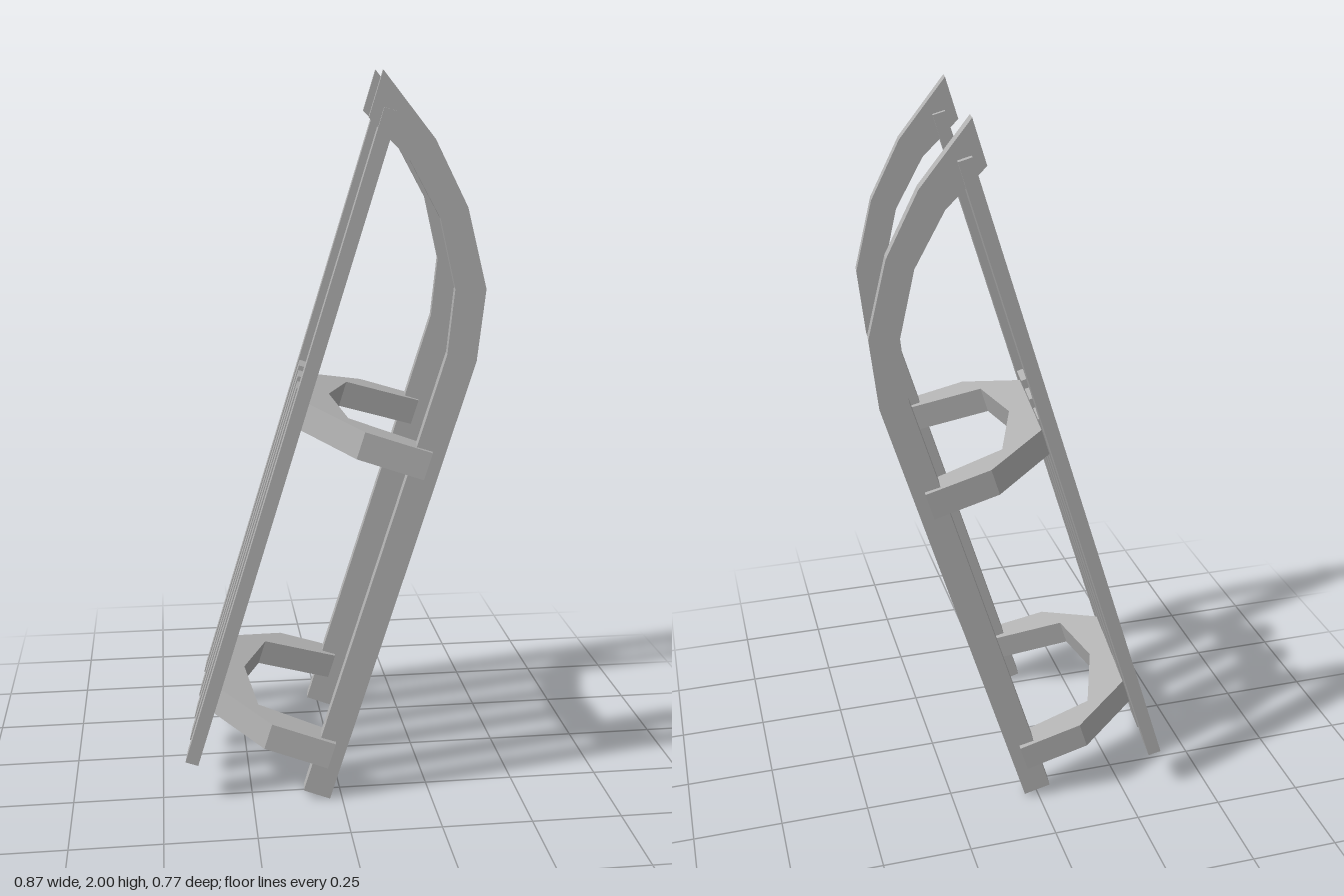
import * as THREE from 'three';

// Wooden sled standing on its tail, leaning back.
// Sled axes: x = seat to runner, y = along the sled, z = across it.
export function createModel() {
  const model = new THREE.Group();
  model.name = 'sled';
  const wood = new THREE.MeshStandardMaterial({ color: 0xb2b2b2, flatShading: true });
  wood.name = 'grey wood';

  const sled = new THREE.Group();
  sled.name = 'leaningSled';
  model.add(sled);

  const add = (name, geometry, x = 0, y = 0, z = 0) => {
    const mesh = new THREE.Mesh(geometry, wood);
    mesh.name = name;
    mesh.position.set(x, y, z);
    sled.add(mesh);
    return mesh;
  };
  const extrude = (points, depth) => new THREE.ExtrudeGeometry(
    new THREE.Shape(points.map(([x, y]) => new THREE.Vector2(x, y))),
    { depth, bevelEnabled: false });

  // Long flat boards of the seat
  const board = (name, y0, y1, z) =>
    add(name, new THREE.BoxGeometry(0.037, y1 - y0, 0.081), -0.402, (y0 + y1) / 2, z);
  for (const z of [-0.145, 0, 0.145]) board('seatSlat', 0, 1.09, z);

  // Curved runners with the side rails that meet their tips
  const runnerOutline = [
    [0, 0.009], [0, 1.322], [-0.035, 1.508], [-0.144, 1.691], [-0.274, 1.828], [-0.449, 1.95],
    [-0.449, 1.829], [-0.32, 1.76], [-0.202, 1.644], [-0.111, 1.485], [-0.078, 1.317], [-0.078, 0.012],
  ];
  const thickness = 0.045;
  for (const side of [1, -1]) {
    const label = side > 0 ? 'left' : 'right';
    board(label + 'SideRail', 0.01, 1.865, side * 0.298);
    add(label + 'Runner', extrude(runnerOutline, thickness), 0, 0, side * 0.297 - thickness / 2);
  }

  // Arched braces joining the runners under the seat
  const outer = [[-0.035, 0.335], [-0.22, 0.322], [-0.384, 0.188]];
  const inner = [[-0.265, 0.223], [-0.035, 0.262]];
  const mirror = (points) => points.map(([x, z]) => [x, -z]).reverse();
  const braceOutline = [...outer, ...mirror(outer), ...mirror(inner), [-0.32, 0], ...inner];
  for (const [name, top] of [['lowerBrace', 0.182], ['upperBrace', 1.058]]) {
    add(name, extrude(braceOutline, 0.077).rotateX(Math.PI / 2), 0, top, 0);
  }

  // Lean the sled
  const along = new THREE.Vector3(0.285, 0.957, 0.048).normalize();
  const across = new THREE.Vector3(-0.118, -0.014, 0.993);
  across.addScaledVector(along, -across.dot(along)).normalize();
  const depth = new THREE.Vector3().crossVectors(along, across);
  sled.quaternion.setFromRotationMatrix(new THREE.Matrix4().makeBasis(depth, along, across));
  sled.position.copy(across).multiplyScalar(-0.006);
  return model;
}
